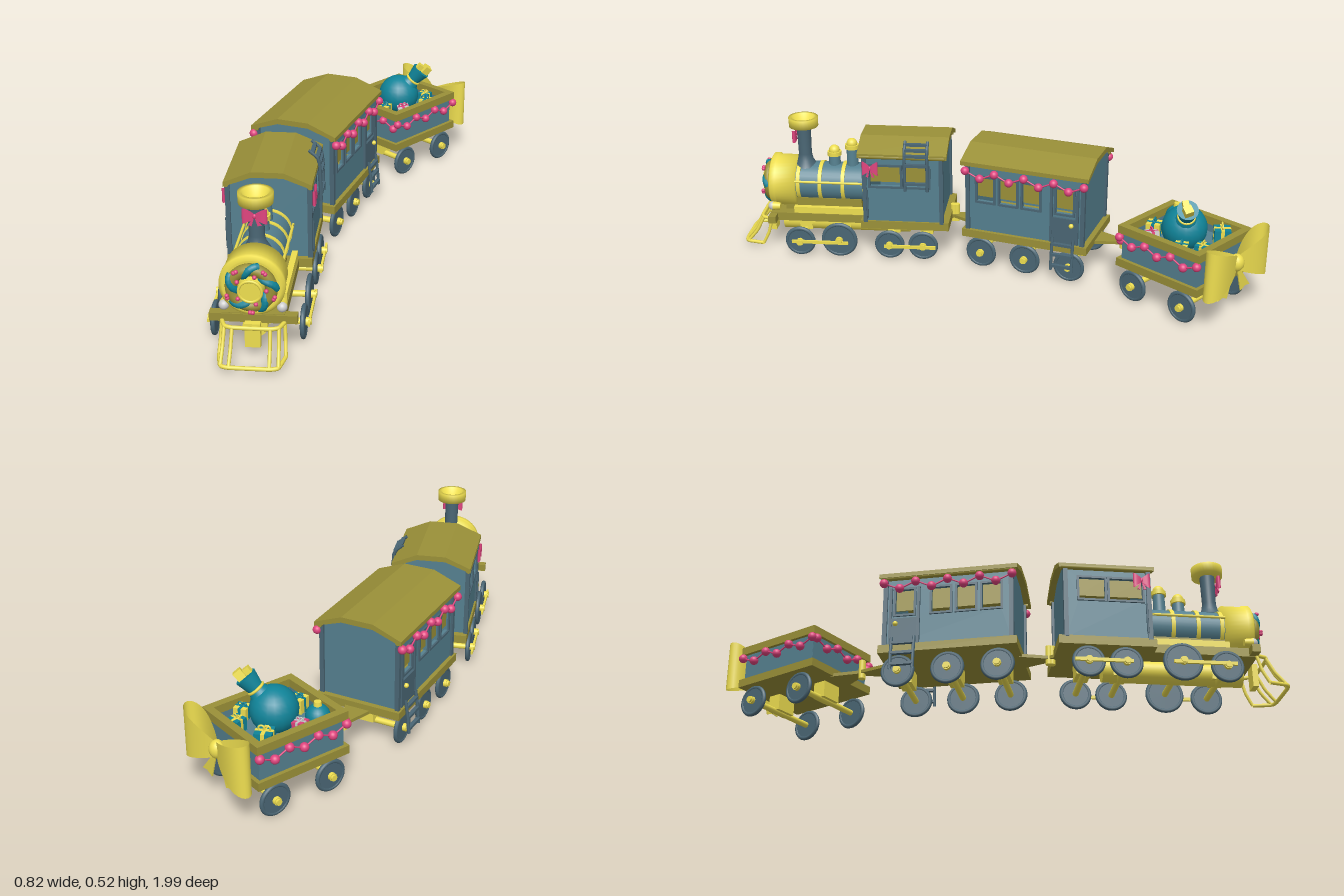
import * as THREE from 'three';

const BLUE = 0x55808f, DARK = 0x4a6674, OLIVE = 0x9a9038, YELLOW = 0xeede50, TEAL = 0x108499, PINK = 0xe0457f, WHITE = 0xcccccc;
const mats = {};
const mat = (c) => (mats[c] ??= new THREE.MeshStandardMaterial({ color: c, side: THREE.DoubleSide }));
const V = (x, y, z) => new THREE.Vector3(x, y, z);

function add(parent, name, geo, color, x = 0, y = 0, z = 0, rx = 0, ry = 0, rz = 0) {
  const m = new THREE.Mesh(geo, mat(color));
  m.name = name;
  m.position.set(x, y, z);
  m.rotation.set(rx, ry, rz);
  parent.add(m);
  return m;
}
const box = (p, n, c, w, h, d, ...at) => add(p, n, new THREE.BoxGeometry(w, h, d), c, ...at);
const cyl = (p, n, c, r1, r2, h, ...at) => add(p, n, new THREE.CylinderGeometry(r1, r2, h, 32), c, ...at);
const ball = (p, n, c, r, ...at) => add(p, n, new THREE.SphereGeometry(r, 20, 14), c, ...at);
const tube = (p, n, c, r, pts, closed = false) =>
  add(p, n, new THREE.TubeGeometry(new THREE.CatmullRomCurve3(pts, closed, 'catmullrom', 0.2), pts.length * 6, r, 8, closed), c);
const group = (p, n, x = 0, y = 0, z = 0, ry = 0) => {
  const g = new THREE.Group();
  g.name = n; g.position.set(x, y, z); g.rotation.y = ry; p.add(g);
  return g;
};
const rect = (S, x0, x1, y0, y1) => {
  const s = new S();
  s.moveTo(x0, y0); s.lineTo(x1, y0); s.lineTo(x1, y1); s.lineTo(x0, y1); s.closePath();
  return s;
};
const extrude = (shape, depth) => new THREE.ExtrudeGeometry(shape, { depth, bevelEnabled: false });

// Axle with a disc wheel, rim and hub at both ends
function axle(p, z, r, hw = 0.14) {
  const g = group(p, 'axle', 0, r + 0.003, z);
  cyl(g, 'axleRod', YELLOW, 0.011, 0.011, hw * 2 + 0.05, 0, 0, 0, 0, 0, Math.PI / 2);
  box(g, 'axleBox', YELLOW, 0.08, 0.06, 0.05, 0, 0.03, 0);
  for (const s of [-1, 1]) {
    cyl(g, 'wheel', DARK, r - 0.004, r - 0.004, 0.012, s * hw, 0, 0, 0, 0, Math.PI / 2);
    add(g, 'wheelRim', new THREE.TorusGeometry(r - 0.006, 0.008, 8, 36), DARK, s * hw, 0, 0, 0, Math.PI / 2, 0);
    cyl(g, 'wheelHub', YELLOW, 0.014, 0.014, 0.02, s * (hw + 0.008), 0, 0, 0, 0, Math.PI / 2);
  }
}

// Roofed body: pierced side walls, gabled end walls, three-faceted roof
function house(p, hw, z0, z1, windows, over) {
  const t = 0.012, y0 = 0.15, eave = 0.42, top = 0.455;
  for (const s of [-1, 1]) {
    const wall = rect(THREE.Shape, z0, z1, y0, eave);
    for (const [z, w, b, h] of windows) wall.holes.push(rect(THREE.Path, z - w / 2, z + w / 2, b, b + h));
    add(p, 'sideWall', extrude(wall, t), BLUE, s > 0 ? hw : -hw + t, 0, 0, 0, -Math.PI / 2, 0);
    for (const [z, w, b, h] of windows) {
      const frame = rect(THREE.Shape, z - w / 2 - 0.008, z + w / 2 + 0.008, b - 0.008, b + h + 0.008);
      frame.holes.push(rect(THREE.Path, z - w / 2, z + w / 2, b, b + h));
      add(p, 'windowFrame', extrude(frame, 0.006), DARK, s > 0 ? hw + 0.006 : -hw, 0, 0, 0, -Math.PI / 2, 0);
      box(p, 'windowBlind', OLIVE, 0.004, h * 0.82, w, s * (hw - 0.008), b + h * 0.59, z);
    }
    for (const z of [z0, z1]) box(p, 'cornerPost', DARK, 0.016, eave - y0, 0.016, s * hw, (y0 + eave) / 2, z);
    cyl(p, 'eaveMoulding', OLIVE, 0.009, 0.009, z1 - z0 + 0.03, s * (hw + 0.003), eave, (z0 + z1) / 2, Math.PI / 2);
  }
  const end = new THREE.Shape([[-hw, y0], [hw, y0], [hw, eave], [hw * 0.36, top], [-hw * 0.36, top], [-hw, eave]].map((a) => new THREE.Vector2(...a)));
  for (const z of [z0, z1 - t]) add(p, 'endWall', extrude(end, t), BLUE, 0, 0, z);
  const rw = hw + over, e = eave - 0.004;
  const roof = [[-rw, e], [-rw * 0.36, top - 0.002], [rw * 0.36, top - 0.002], [rw, e], [rw, e + 0.016], [rw * 0.36, top + 0.018], [-rw * 0.36, top + 0.018], [-rw, e + 0.016]];
  add(p, 'roof', extrude(new THREE.Shape(roof.map((a) => new THREE.Vector2(...a))), z1 - z0 + 0.046), OLIVE, 0, 0, z0 - 0.023);
}

// Hanging string of round baubles between two points
function garland(p, a, b, n, drop) {
  const g = group(p, 'garland');
  const pts = Array.from({ length: n }, (_, i) => a.clone().lerp(b, i / (n - 1)).add(V(0, i % 2 ? -drop : 0, 0)));
  tube(g, 'garlandString', PINK, 0.003, pts);
  pts.forEach((q) => ball(g, 'bauble', PINK, 0.016, q.x, q.y, q.z));
}

// Ribbon bow: two flaring open loops, knot and hanging tails
function bow(p, color, w, h, x, y, z, ry = 0) {
  const g = group(p, 'bow', x, y, z, ry), N = 28;
  for (const s of [-1, 1]) {
    const pos = [], idx = [];
    for (let i = 0; i <= N; i++) {
      const a = (i / N) * Math.PI * 2, u = (1 - Math.cos(a)) / 2;
      const half = h * (0.13 + 0.37 * Math.pow(u, 0.8)), zz = Math.sin(a) * w * 0.085 * (0.5 + u);
      pos.push(s * u * w / 2, half, zz, s * u * w / 2, -half, zz);
      if (i < N) idx.push(2 * i, 2 * i + 1, 2 * i + 2, 2 * i + 1, 2 * i + 3, 2 * i + 2);
    }
    const geo = new THREE.BufferGeometry();
    geo.setAttribute('position', new THREE.Float32BufferAttribute(pos, 3));
    geo.setIndex(idx);
    geo.computeVertexNormals();
    add(g, 'bowLoop', geo, color);
    const tail = new THREE.Shape([[0, 0], [s * 0.28, -0.62], [s * 0.2, -0.6], [s * 0.12, -0.66]].map(([a, b]) => new THREE.Vector2(a * w, b * h)));
    add(g, 'bowTail', extrude(tail, 0.004), color);
  }
  add(g, 'bowKnot', new THREE.SphereGeometry(0.5, 16, 12), color).scale.set(w * 0.16, h * 0.34, w * 0.16);
}

// Ladder from two bent rails (points in x, y) and even rungs
function ladder(p, name, z, width, pts, rungs) {
  const g = group(p, name), curve = new THREE.CatmullRomCurve3(pts.map(([x, y]) => V(x, y, z)));
  for (const s of [-1, 1]) tube(g, 'rail', DARK, 0.006, pts.map(([x, y]) => V(x, y, z + s * width / 2)));
  for (let i = 0; i < rungs; i++) {
    const q = curve.getPoint((i + 0.4) / rungs);
    box(g, 'rung', DARK, 0.014, 0.01, width, q.x, q.y, z);
  }
}

// Triangular drawbar plate reaching to a coupling pin
function drawbar(p, z0, z1, w) {
  const s = new THREE.Shape([[-w, z0], [w, z0], [0.012, z1], [-0.012, z1]].map((a) => new THREE.Vector2(...a)));
  add(p, 'drawbar', extrude(s, 0.012), OLIVE, 0, 0.135, 0, Math.PI / 2);
  cyl(p, 'couplingPin', YELLOW, 0.012, 0.012, 0.07, 0, 0.14, z1);
}

function gift(p, color, ribbon, s, x, y, z, ry, tilt = 0) {
  const g = group(p, 'gift', x, y, z, ry);
  g.rotation.z = tilt;
  box(g, 'giftBox', color, s, s, s);
  box(g, 'giftRibbon', ribbon, s * 1.04, s * 1.04, s * 0.22);
  box(g, 'giftRibbon', ribbon, s * 0.22, s * 1.04, s * 1.04);
  for (const k of [-1, 1]) add(g, 'giftBow', new THREE.TorusGeometry(s * 0.16, s * 0.06, 6, 14), ribbon, k * s * 0.17, s * 0.62, 0);
}

function locomotive(root) {
  const g = group(root, 'locomotive', -0.245), cy = 0.255, H = Math.PI / 2;
  // Frame and running gear
  box(g, 'cabDeck', OLIVE, 0.29, 0.032, 0.34, 0, 0.139, 0.35);
  box(g, 'frontDeck', OLIVE, 0.2, 0.032, 0.38, 0, 0.139, 0.69);
  box(g, 'bufferBeam', OLIVE, 0.28, 0.028, 0.03, 0, 0.139, 0.87);
  cyl(g, 'underTank', YELLOW, 0.04, 0.04, 0.5, 0, 0.09, 0.6, H);
  for (const [z, r] of [[0.76, 0.057], [0.606, 0.068], [0.41, 0.056], [0.28, 0.056]]) axle(g, z, r, 0.145);
  for (const s of [-1, 1]) {
    box(g, 'connectingRod', YELLOW, 0.008, 0.012, 0.22, s * 0.163, 0.064, 0.68);
    box(g, 'connectingRod', YELLOW, 0.008, 0.012, 0.2, s * 0.163, 0.058, 0.33);
    ball(g, 'headlamp', WHITE, 0.017, s * 0.092, 0.18, 0.875);
    cyl(g, 'lampBody', YELLOW, 0.017, 0.013, 0.03, s * 0.092, 0.18, 0.858, H);
    tube(g, 'grabRail', DARK, 0.004, [V(s * 0.148, 0.17, 0.49), V(s * 0.148, 0.285, 0.49)]);
    bow(g, PINK, 0.06, 0.055, s * 0.152, 0.375, 0.475, H);
    tube(g, 'sideRail', YELLOW, 0.005, [V(s * 0.082, 0.28, 0.51), V(s * 0.082, 0.28, 0.79)]);
    box(g, 'sideBoard', YELLOW, 0.02, 0.03, 0.28, s * 0.086, 0.165, 0.65);
  }
  drawbar(g, 0.2, 0.165, 0.04);
  // Boiler, bands and smokebox
  cyl(g, 'boiler', BLUE, 0.076, 0.076, 0.32, 0, cy, 0.65, H);
  for (const z of [0.515, 0.6, 0.69, 0.775]) cyl(g, 'boilerBand', YELLOW, 0.08, 0.08, 0.014, 0, cy, z, H);
  const profile = [[0, 0.785], [0.1, 0.785], [0.1, 0.86], [0.105, 0.862], [0.105, 0.88], [0.092, 0.888], [0.086, 0.882], [0, 0.882]];
  add(g, 'smokebox', new THREE.LatheGeometry(profile.map((a) => new THREE.Vector2(...a)), 40), YELLOW, 0, cy, 0, H);
  box(g, 'boilerSaddle', OLIVE, 0.12, 0.06, 0.3, 0, 0.175, 0.68);
  // Wreath with spiral ribbons and berries around the front door
  add(g, 'wreath', new THREE.TorusGeometry(0.063, 0.02, 12, 40), OLIVE, 0, cy, 0.892);
  for (let k = 0; k < 5; k++) {
    const a0 = (k / 5) * Math.PI * 2;
    const pts = Array.from({ length: 9 }, (_, i) => {
      const b = Math.PI * (i / 8), a = a0 + i * 0.11, r = 0.063 + Math.cos(b) * 0.014;
      return V(Math.cos(a) * r, cy + Math.sin(a) * r, 0.892 + Math.sin(b) * 0.012);
    });
    tube(g, 'wreathRibbon', TEAL, 0.013, pts);
    for (const [d, r] of [[-0.25, 0.078], [0.02, 0.05], [0.9, 0.077]]) ball(g, 'berry', PINK, 0.007, Math.cos(a0 + d) * r, cy + Math.sin(a0 + d) * r, 0.913);
  }
  cyl(g, 'smokeboxDoor', YELLOW, 0.036, 0.042, 0.035, 0, cy, 0.902, H);
  add(g, 'doorRing', new THREE.TorusGeometry(0.036, 0.005, 8, 32), YELLOW, 0, cy, 0.918);
  // Chimney and domes
  const flue = [[0.045, 0.32], [0.03, 0.345], [0.025, 0.37], [0.027, 0.48], [0.056, 0.482], [0.057, 0.518], [0.044, 0.518], [0.03, 0.49], [0, 0.488]];
  add(g, 'chimney', new THREE.LatheGeometry(flue.slice(0, 4).map((a) => new THREE.Vector2(...a)), 32), DARK, 0, 0, 0.755);
  add(g, 'chimneyCap', new THREE.LatheGeometry(flue.slice(3).map((a) => new THREE.Vector2(...a)), 32), YELLOW, 0, 0, 0.755);
  bow(g, PINK, 0.08, 0.05, 0, 0.448, 0.788);
  for (const [z, y] of [[0.64, 0.385], [0.57, 0.415]]) {
    cyl(g, 'domeStem', BLUE, 0.02, 0.024, y - 0.31, 0, (y + 0.31) / 2, z);
    cyl(g, 'domeCollar', YELLOW, 0.027, 0.027, 0.016, 0, y - 0.012, z);
    ball(g, 'domeTop', YELLOW, 0.021, 0, y, z);
  }
  // Cab
  house(g, 0.138, 0.207, 0.5, [[0.42, 0.115, 0.3, 0.08], [0.3, 0.09, 0.3, 0.08]], 0.011);
  ladder(g, 'roofLadder', 0.3, 0.085, [[0.158, 0.29], [0.155, 0.41], [0.148, 0.45], [0.118, 0.477]], 5);
  // Cowcatcher of bent tubes
  const cage = group(g, 'cowcatcher');
  const loop = (y, z, w, d) => [V(-w, y, z - d), V(-w * 0.86, y, z - 0.01), V(-w * 0.6, y, z), V(w * 0.6, y, z), V(w * 0.86, y, z - 0.01), V(w, y, z - d)];
  const upper = loop(0.128, 0.925, 0.1, 0.045), lower = loop(0.025, 0.993, 0.106, 0.075);
  for (const l of [upper, lower]) tube(cage, 'cageHoop', YELLOW, 0.007, l);
  upper.forEach((q, i) => tube(cage, 'cageBar', YELLOW, 0.006, [q, q.clone().lerp(lower[i], 0.5).add(V(0, -0.006, -0.004)), lower[i]]));
  box(cage, 'cageStay', YELLOW, 0.05, 0.085, 0.02, 0, 0.088, 0.895);
}

function passengerCar(root) {
  const g = group(root, 'passengerCar', -0.15, 0, -0.155, -0.276);
  box(g, 'floorFrame', OLIVE, 0.32, 0.03, 0.49, 0, 0.14, 0);
  for (const z of [-0.175, 0, 0.175]) axle(g, z, 0.058);
  house(g, 0.145, -0.225, 0.225, [[0.155, 0.065, 0.275, 0.095], [0.065, 0.065, 0.275, 0.095], [-0.025, 0.065, 0.275, 0.095], [-0.155, 0.065, 0.275, 0.095]], 0.02);
  for (const s of [-1, 1]) {
    drawbar(g, s * 0.235, s * 0.344, 0.05);
    // Door, handle and steps
    box(g, 'doorPanel', DARK, 0.008, 0.1, 0.09, s * 0.149, 0.208, -0.155);
    for (const k of [-1, 1]) box(g, 'doorPost', DARK, 0.01, 0.22, 0.01, s * 0.149, 0.268, -0.155 + k * 0.05);
    ball(g, 'doorHandle', YELLOW, 0.009, s * 0.158, 0.235, -0.185);
    ladder(g, 'doorSteps', -0.155, 0.08, [[s * 0.176, 0.055], [s * 0.17, 0.12], [s * 0.162, 0.18]], 3);
    garland(g, V(s * 0.162, 0.395, 0.23), V(s * 0.162, 0.395, -0.23), 9, 0.024);
  }
}

function giftWagon(root) {
  const g = group(root, 'giftWagon', 0.124, 0, -0.697, -0.696);
  box(g, 'floorFrame', OLIVE, 0.32, 0.03, 0.36, 0, 0.14, 0);
  for (const z of [-0.11, 0.11]) axle(g, z, 0.057, 0.145);
  drawbar(g, 0.17, 0.277, 0.05);
  // Open tub with a wooden rim
  box(g, 'loadFloor', BLUE, 0.28, 0.07, 0.32, 0, 0.19, 0);
  for (const s of [-1, 1]) {
    box(g, 'tubSide', BLUE, 0.012, 0.11, 0.33, s * 0.14, 0.207, 0);
    box(g, 'tubEnd', BLUE, 0.29, 0.11, 0.012, 0, 0.207, s * 0.16);
    box(g, 'sideRim', OLIVE, 0.028, 0.03, 0.356, s * 0.144, 0.27, 0);
    box(g, 'endRim', OLIVE, 0.316, 0.03, 0.028, 0, 0.27, s * 0.164);
    garland(g, V(s * 0.158, 0.24, 0.17), V(s * 0.158, 0.24, -0.17), 7, 0.022);
  }
  garland(g, V(-0.14, 0.24, 0.177), V(0.14, 0.24, 0.177), 6, 0.022);
  bow(g, YELLOW, 0.34, 0.19, 0, 0.222, -0.225);
  // Sack with tied neck and parcels sticking out
  const sack = group(g, 'sack', 0.005, 0.283, 0, 0.696);
  ball(sack, 'sackBody', TEAL, 0.082);
  const neck = group(sack, 'sackNeck');
  neck.rotation.z = -0.7;
  cyl(neck, 'neckFlare', TEAL, 0.038, 0.026, 0.055, 0, 0.115, 0);
  cyl(neck, 'neckBase', TEAL, 0.026, 0.05, 0.045, 0, 0.07, 0);
  add(neck, 'sackTie', new THREE.TorusGeometry(0.028, 0.005, 8, 24), YELLOW, 0, 0.09, 0, Math.PI / 2);
  box(neck, 'parcel', YELLOW, 0.03, 0.06, 0.03, 0.012, 0.145, 0, 0, 0.4, 0);
  box(neck, 'parcel', YELLOW, 0.022, 0.05, 0.022, -0.016, 0.14, 0.008, 0, 0.2, 0);
  // Loose gifts and a large bauble
  ball(g, 'largeBauble', TEAL, 0.042, -0.09, 0.262, 0.105);
  cyl(g, 'baubleCap', YELLOW, 0.012, 0.014, 0.016, -0.09, 0.308, 0.105);
  gift(g, YELLOW, TEAL, 0.05, 0.03, 0.25, 0.115, 0.4);
  gift(g, WHITE, PINK, 0.045, 0.1, 0.255, 0.07, 0.9, 0.2);
  gift(g, PINK, WHITE, 0.042, -0.1, 0.255, 0.03, 0.3, -0.15);
  gift(g, TEAL, YELLOW, 0.058, -0.085, 0.255, -0.1, 0.7);
  gift(g, YELLOW, TEAL, 0.045, 0.1, 0.25, -0.06, 0.5);
  gift(g, TEAL, YELLOW, 0.045, 0.05, 0.248, -0.115, 0.2);
}

export function createModel() {
  const root = new THREE.Group();
  root.name = 'festiveTrain';
  locomotive(root);
  passengerCar(root);
  giftWagon(root);
  return root;
}
